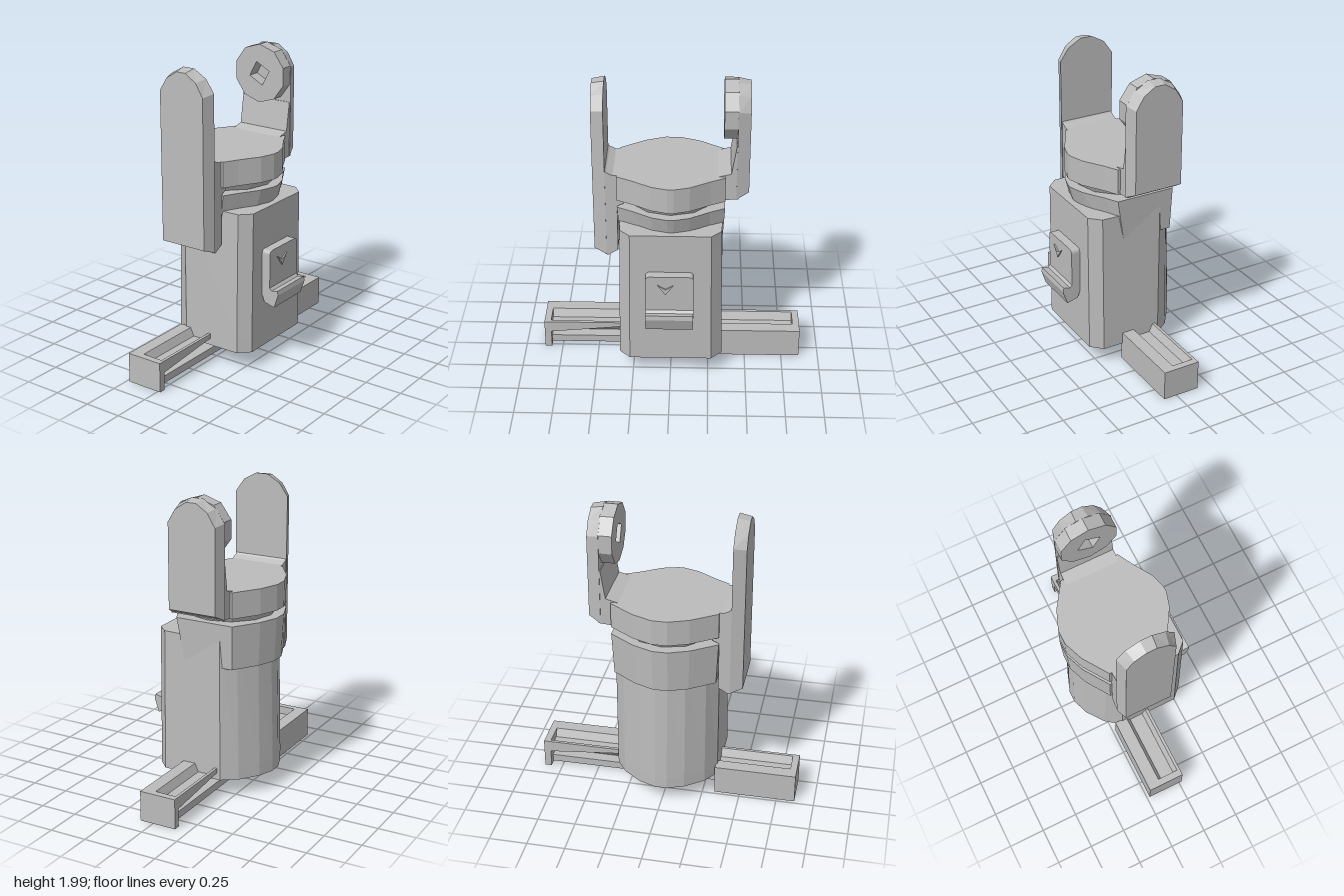
import * as THREE from 'three';

const CX = -0.07; // axis of the turning parts

const shapeOf = (pts) => new THREE.Shape(pts.map(([a, b]) => new THREE.Vector2(a, b)));
const extrude = (shape, depth) =>
  new THREE.ExtrudeGeometry(shape, { depth, bevelEnabled: false, steps: 1 });

// Move every vertex by a rule
function warp(geo, rule) {
  const p = geo.attributes.position;
  const v = new THREE.Vector3();
  for (let i = 0; i < p.count; i++) {
    rule(v.fromBufferAttribute(p, i));
    p.setXYZ(i, v.x, v.y, v.z);
  }
  geo.computeVertexNormals();
  return geo;
}

// Upright prism from an [x, z] outline, with an optional hole
function prism(outline, y0, y1, hole) {
  const flip = (pts) => pts.map(([x, z]) => [x, -z]);
  const shape = shapeOf(flip(outline));
  if (hole) shape.holes.push(shapeOf(flip(hole)));
  return extrude(shape, y1 - y0).rotateX(-Math.PI / 2).translate(0, y0, 0);
}

// Profile in [z, y] run along x
const sideProfile = (pts, x0, x1) =>
  extrude(shapeOf(pts), x1 - x0).rotateY(-Math.PI / 2).translate(x1, 0, 0);

const ring = (n, r, turn, cx, cy) =>
  Array.from({ length: n }, (_, i) => {
    const a = turn + (i / n) * Math.PI * 2;
    return [cx + r * Math.cos(a), cy + r * Math.sin(a)];
  });

export function createModel() {
  const model = new THREE.Group();
  const grey = new THREE.MeshStandardMaterial({ color: 0xbcbcbc, flatShading: true });
  grey.name = 'plain grey';
  const add = (name, geo, parent = model) => {
    const mesh = new THREE.Mesh(geo, grey);
    mesh.name = name;
    parent.add(mesh);
    return mesh;
  };

  // Body: flat with chamfered corners on one side, round on the other
  const bodyOutline = [
    [0.3, -0.27], [0.3, 0.27], [0.23, 0.34], [-0.18, 0.34], [-0.28, 0.27], [-0.37, 0.15],
    [-0.41, 0.04], [-0.41, -0.04], [-0.37, -0.15], [-0.28, -0.27], [-0.18, -0.34], [0.23, -0.34],
  ];
  const body = prism(bodyOutline, 0.21, 1.08);
  warp(body, (v) => {
    if (v.y > 1 && v.x > 0.2) v.z *= 0.96;
    if (v.y > 1 && v.x < -0.2) v.x = CX + (v.x - CX) * 0.93; // tucks inside the collar
  });
  add('body', body);
  add('bodyFoot', prism(bodyOutline, 0.13, 0.21, ring(8, 0.22, Math.PI / 8, CX, 0)));

  // Turntable disc, neck and collar
  const half = [[-0.43, 0.05], [-0.38, 0.18], [-0.27, 0.345], [0.13, 0.345], [0.18, 0.25], [0.26, 0.12], [0.29, 0.02]];
  const discOutline = [...half, ...half.map(([x, z]) => [x, -z]).reverse()];
  add('turntable', prism(discOutline, 1.24, 1.41));
  add('neck', new THREE.CylinderGeometry(0.33, 0.29, 0.08, 12).translate(CX, 1.215, 0));
  const collar = prism(discOutline, 0.9, 1.19);
  warp(collar, (v) => {
    if (v.y < 1) {
      v.x = CX + (v.x - CX) * (v.x > 0 ? 0.75 : 0.96);
      v.z *= 0.96;
    }
  });
  add('collar', collar);

  // Upright plates with arched tops, rounded on the outer face
  const arch = (bottom) => {
    const side = [[0.19, bottom], [0.19, 1.86], [0.13, 1.945], [0.04, 1.995]];
    return shapeOf([...side, ...side.map(([x, y]) => [-x, y]).reverse()]);
  };
  const plate = (bottom, lift) =>
    warp(extrude(arch(bottom), 0.08), (v) => {
      if (v.z > 0.04) {
        v.x *= 0.86;
        v.y += v.y < 1.5 ? lift : -0.015;
      }
    });
  add('frontPlate', plate(0.83, 0.03).translate(CX, 0, 0.42));
  add('frontPlateBracket', sideProfile(
    [[0.43, 1.45], [0.41, 1.43], [0.37, 1.41], [0.3, 1.41], [0.3, 1.21], [0.345, 1.19], [0.345, 0.86], [0.41, 0.82], [0.43, 0.83]],
    -0.255, 0.115));
  add('rearPlate', plate(1.25, 0.04).rotateY(Math.PI).translate(CX, 0, -0.415));
  add('rearPlateBracket', sideProfile(
    [[-0.3, 1.41], [-0.38, 1.43], [-0.41, 1.62], [-0.43, 1.62], [-0.43, 1.25], [-0.3, 1.24]],
    -0.255, 0.115));

  // Round head with a square socket, facing the front plate
  const headShape = shapeOf(ring(10, 0.195, 0.31, CX, 1.805));
  headShape.holes.push(shapeOf(ring(4, 0.08, 0.3, CX, 1.805)));
  add('head', extrude(headShape, 0.09).translate(0, 0, -0.42));

  // Side panel with a slanted lip and a small latch
  const panel = new THREE.Shape();
  panel.moveTo(-0.15, 0.5).lineTo(0.16, 0.5).lineTo(0.16, 0.78);
  panel.quadraticCurveTo(0.16, 0.81, 0.13, 0.81).lineTo(-0.12, 0.81);
  panel.quadraticCurveTo(-0.15, 0.81, -0.15, 0.78);
  add('sidePanel', extrude(panel, 0.065).rotateY(-Math.PI / 2).translate(0.36, 0, 0));
  add('sidePanelLip', extrude(shapeOf(
    [[0.3, 0.5], [0.32, 0.45], [0.395, 0.43], [0.425, 0.52], [0.42, 0.55], [0.375, 0.54], [0.34, 0.58]]),
    0.31).translate(0, 0, -0.15));
  add('latch', sideProfile([[-0.02, 0.75], [0.03, 0.68], [0.08, 0.75], [0.03, 0.72]], 0.35, 0.37));

  // Feet: a troughed wedge and end block, repeated by a half turn
  const footSection = [
    [-0.16, 0.01], [-0.09, 0.01], [-0.03, 0.07], [0.09, 0.13],
    [0.09, 0.21], [0.07, 0.21], [0.045, 0.155], [-0.05, 0.155], [-0.075, 0.21], [-0.16, 0.21],
  ];
  for (const [name, turn] of [['frontFoot', 0], ['rearFoot', Math.PI]]) {
    const foot = new THREE.Group();
    foot.name = name;
    foot.position.x = CX;
    foot.rotation.y = turn;
    const wedge = extrude(shapeOf(footSection), 0.5).translate(0, 0, 0.33);
    warp(wedge, (v) => {
      if (v.z < 0.5 && v.x > 0.08 && v.y < 0.2) v.y = 0.18;
    });
    add(name + 'Wedge', wedge, foot);
    add(name + 'End', new THREE.BoxGeometry(0.25, 0.2, 0.045).translate(-0.035, 0.11, 0.8475), foot);
    model.add(foot);
  }

  // Bar joining the feet
  add('footBar', new THREE.BoxGeometry(0.09, 0.05, 1.66).translate(CX, 0.045, 0));

  // Stand on the ground
  model.children.forEach((part) => { part.position.y -= 0.005; });
  return model;
}
